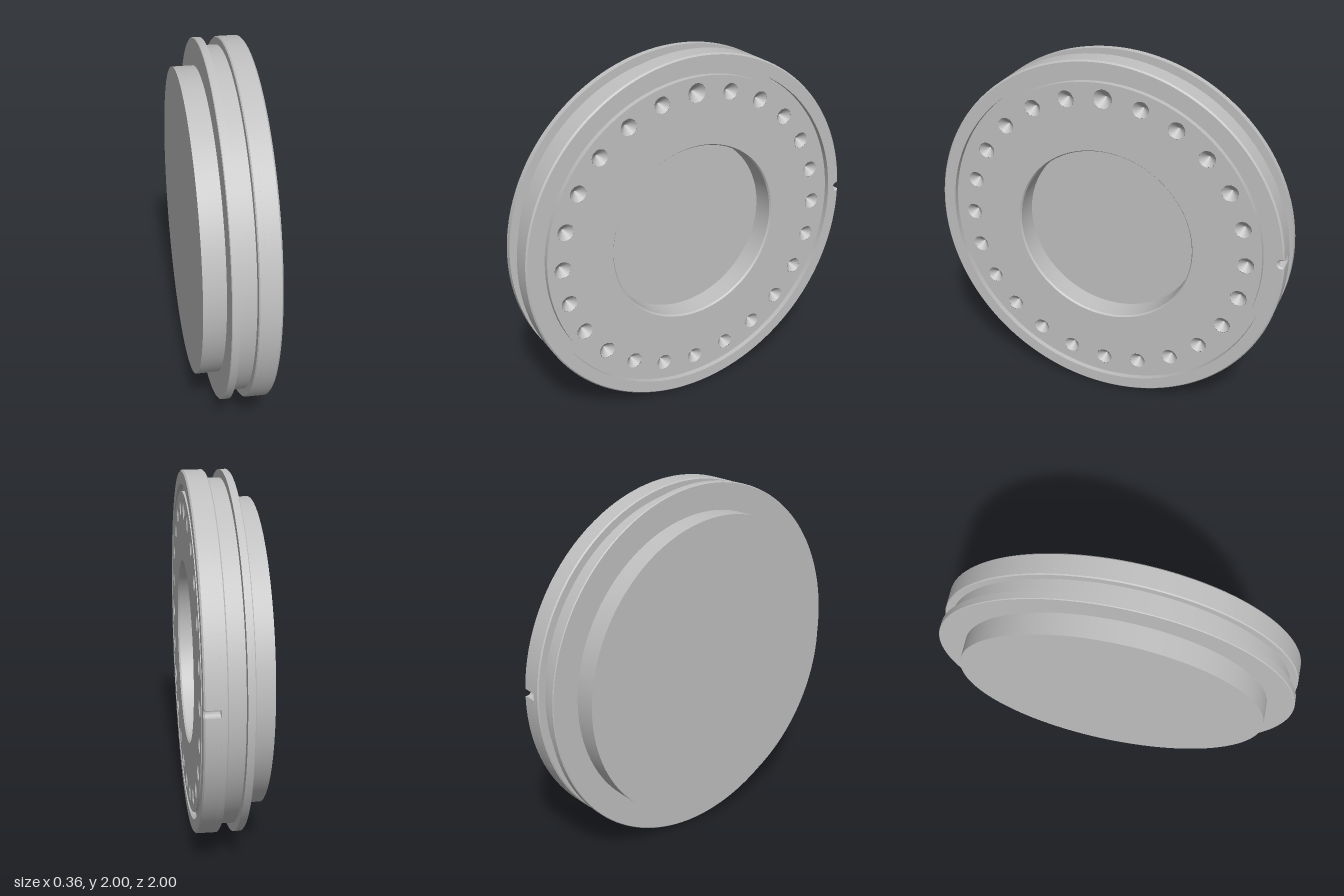
import * as THREE from 'three';
import { toCreasedNormals } from 'three/addons/utils/BufferGeometryUtils.js';

const SEG = 128;
const FRONT = 0.182; // x of the drilled face
const BACK = -0.182; // x of the plain boss face

export function createModel() {
  const group = new THREE.Group();
  const metal = new THREE.MeshStandardMaterial({ color: 0xc0c0c0 });
  metal.name = 'plain grey';

  const add = (name, geometry) => {
    const mesh = new THREE.Mesh(geometry, metal);
    mesh.name = name;
    mesh.position.y += 1;
    group.add(mesh);
    return mesh;
  };

  // Turned profile of [radius, x] pairs, spun around the x axis
  const turn = (profile, segments = SEG) => new THREE.LatheGeometry(
    profile.map(([r, x]) => new THREE.Vector2(r, x)), segments).rotateZ(-Math.PI / 2);

  // Boss, thin flange, outer groove, rim and the fine ring groove in the face
  add('body', toCreasedNormals(turn([
    [0, BACK], [0.85, BACK], [0.85, -0.065],
    [0.996, -0.065], [1, -0.061], [1, -0.025],
    [0.955, -0.025], [0.955, 0.064],
    [0.994, 0.064], [1, 0.07], [1, 0.1],
    [0.96, 0.1], [0.96, FRONT],
    [0.925, FRONT], [0.925, FRONT - 0.03],
    [0.885, FRONT - 0.03], [0.885, FRONT],
  ]), 0.4));

  // Front of the rim, chamfered, with one small round notch at its edge
  const notchAngle = 0.05, notchR = 0.02;
  const rim = new THREE.Shape();
  rim.absarc(0, 0, 1, notchAngle + notchR, notchAngle - notchR + Math.PI * 2, false);
  const cx = 0.987 * Math.cos(notchAngle), cy = 0.987 * Math.sin(notchAngle);
  for (let i = 0; i <= 8; i++) {
    const a = notchAngle - Math.PI / 2 - (i / 8) * Math.PI;
    rim.lineTo(cx + notchR * Math.cos(a), cy + notchR * Math.sin(a));
  }
  rim.closePath();
  rim.holes.push(new THREE.Path().absarc(0, 0, 0.935, 0, Math.PI * 2, true));
  const chamfer = 0.008;
  const rimGeometry = new THREE.ExtrudeGeometry(rim, {
    depth: FRONT - chamfer - 0.098, curveSegments: SEG,
    bevelEnabled: true, bevelSegments: 1,
    bevelThickness: chamfer, bevelSize: chamfer, bevelOffset: -chamfer,
  });
  rimGeometry.translate(0, 0, 0.098).rotateY(Math.PI / 2);
  add('notchedRim', toCreasedNormals(rimGeometry, 0.4));

  // Drilled face and its ring of conical dimples; the top one is larger
  const face = new THREE.Shape().absarc(0, 0, 0.885, 0, Math.PI * 2, false);
  face.holes.push(new THREE.Path().absarc(0, 0, 0.51, 0, Math.PI * 2, true));
  const count = 24;
  for (let i = 0; i < count; i++) {
    const a = Math.PI / 2 + (i / count) * Math.PI * 2;
    const r = i === 0 ? 0.052 : 0.045;
    const u = 0.8 * Math.cos(a), v = 0.8 * Math.sin(a);
    face.holes.push(new THREE.Path().absarc(u, v, r, 0, Math.PI * 2, true));
    const dimple = add('dimple', turn([[r, 0], [0, -r]], 24));
    dimple.position.set(FRONT, 1 + v, -u);
  }
  add('drilledFace', new THREE.ShapeGeometry(face, SEG / 2)
    .rotateY(Math.PI / 2).translate(FRONT, 0, 0));

  // Central recess with a slightly tapered wall
  add('recess', toCreasedNormals(turn([
    [0.51, FRONT], [0.503, FRONT - 0.01], [0.5, FRONT - 0.13], [0, FRONT - 0.13],
  ]), 0.4));

  return group;
}
